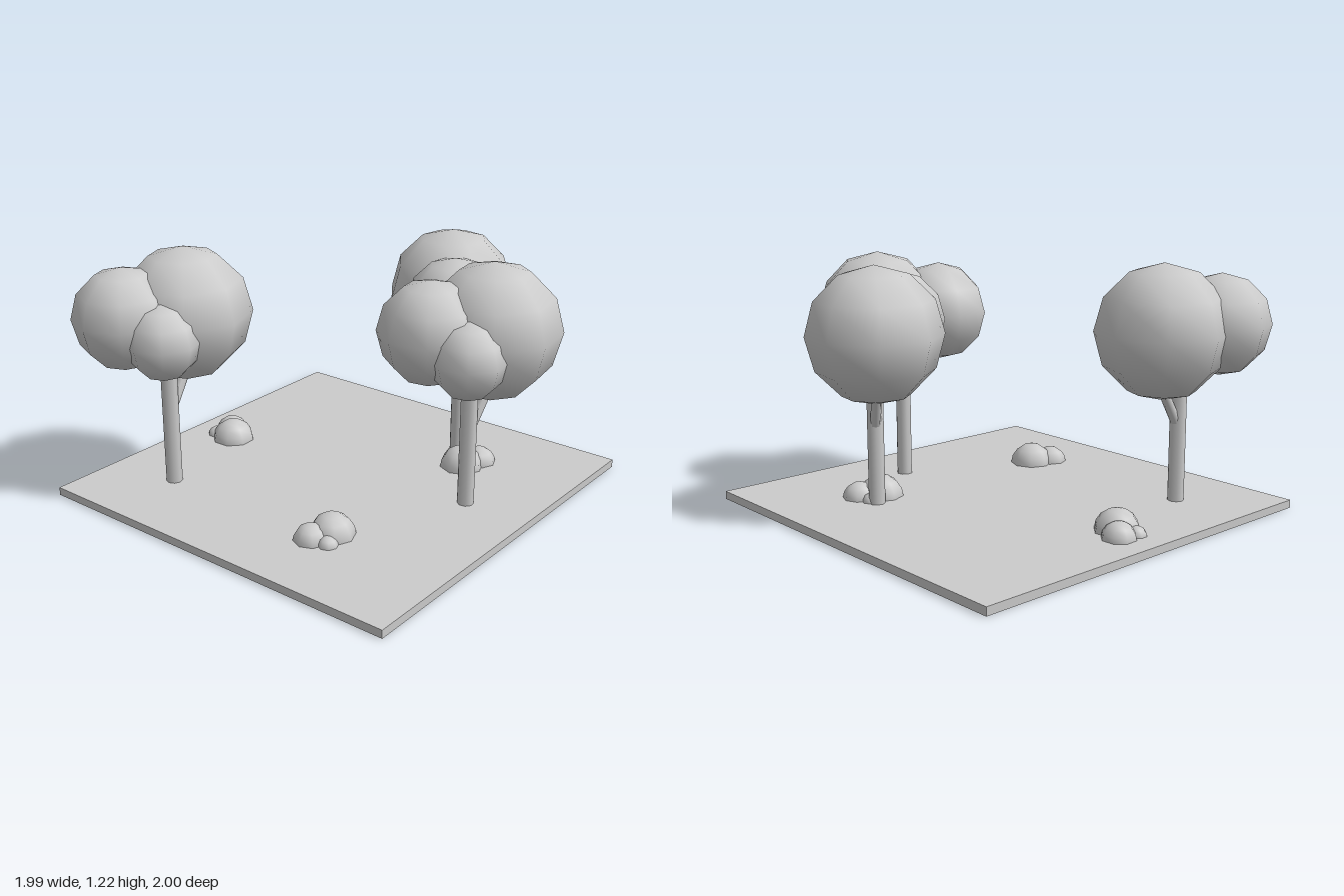
import * as THREE from 'three';

const material = new THREE.MeshStandardMaterial({ color: 0xcccccc });
const GROUND_TOP = 0.04;

function addMesh(parent, name, geometry, x, y, z) {
  const mesh = new THREE.Mesh(geometry, material);
  mesh.name = name;
  mesh.position.set(x, y, z);
  parent.add(mesh);
  return mesh;
}

// Cylinder running between two points
function addLimb(parent, name, from, to, radius) {
  const a = new THREE.Vector3(...from);
  const dir = new THREE.Vector3(...to).sub(a);
  const mesh = addMesh(parent, name, new THREE.CylinderGeometry(radius, radius, dir.length(), 8), 0, 0, 0);
  mesh.position.copy(a).addScaledVector(dir, 0.5);
  mesh.quaternion.setFromUnitVectors(new THREE.Vector3(0, 1, 0), dir.normalize());
}

// Trunk, side branch and three overlapping balls of leaves
function makeTree(x, z, degrees) {
  const tree = new THREE.Group();
  tree.name = 'tree';
  addLimb(tree, 'trunk', [0, GROUND_TOP - 0.01, 0], [0, 0.85, 0], 0.04);
  addLimb(tree, 'branch', [0, 0.41, 0], [0.15, 0.66, 0], 0.025);
  const crown = [
    ['largeLeafBall', 0.327, 0.13, 0.89, 0],
    ['mediumLeafBall', 0.247, -0.155, 0.91, -0.115],
    ['smallLeafBall', 0.182, -0.12, 0.83, 0.105],
  ];
  for (const [name, r, px, py, pz] of crown) {
    addMesh(tree, name, new THREE.SphereGeometry(r, 8, 6), px, py, pz);
  }
  tree.position.set(x, 0, z);
  tree.rotation.y = THREE.MathUtils.degToRad(degrees);
  return tree;
}

// Cluster of three domes resting on the ground
function makeBush(x, z, degrees) {
  const bush = new THREE.Group();
  bush.name = 'bush';
  const domes = [
    ['largeDome', 0.112, 0, 0],
    ['mediumDome', 0.085, -0.1, -0.043],
    ['smallDome', 0.05, -0.093, 0.05],
  ];
  for (const [name, r, px, pz] of domes) {
    const dome = new THREE.SphereGeometry(r, 8, 4, 0, Math.PI * 2, 0, Math.PI / 2);
    addMesh(bush, name, dome, px, GROUND_TOP - 0.006, pz);
  }
  bush.position.set(x, 0, z);
  bush.rotation.y = THREE.MathUtils.degToRad(degrees);
  return bush;
}

export function createModel() {
  const model = new THREE.Group();
  model.name = 'groveTile';

  // Square slab of ground
  addMesh(model, 'ground', new THREE.BoxGeometry(1.986, GROUND_TOP, 1.986), 0, GROUND_TOP / 2, -0.007);

  for (const [x, z, turn] of [[-0.58, -0.617, 0], [0.12, 0.65, -13], [0.538, 0.324, 58]]) {
    model.add(makeTree(x, z, turn));
  }
  for (const [x, z, turn] of [[-0.515, 0.343, 0], [-0.03, -0.735, -110], [0.45, 0.41, 180]]) {
    model.add(makeBush(x, z, turn));
  }
  return model;
}
